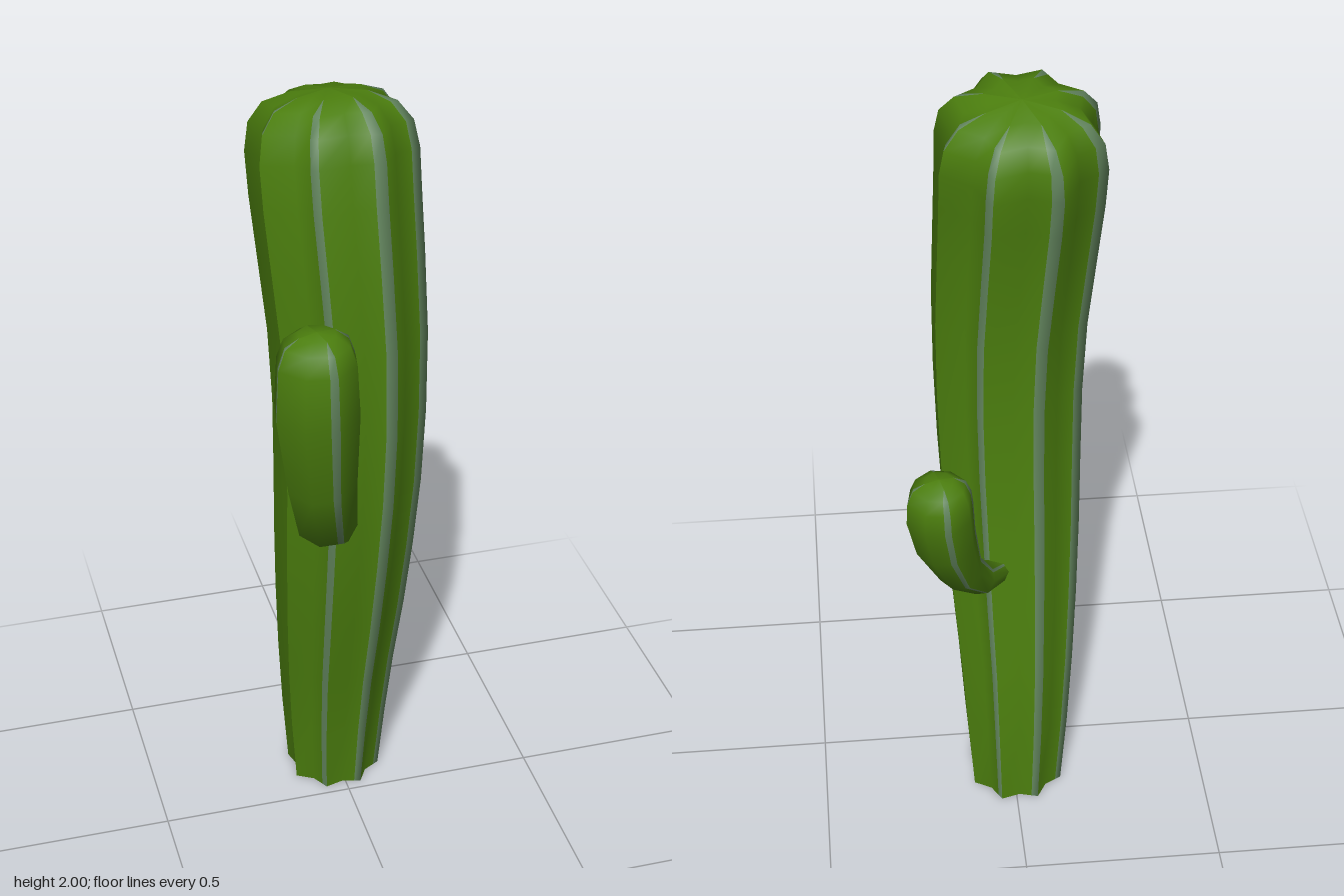
import * as THREE from 'three';

const skin = new THREE.MeshStandardMaterial({ color: 0x4c7f0e, side: THREE.DoubleSide });
skin.name = 'green skin';
const crest = new THREE.MeshStandardMaterial({ color: 0x64875f, side: THREE.DoubleSide });
crest.name = 'grey-green rib stripe';

// Sweeps a ribbed section along stations [x, y, z, radius]; the last one closes to a point.
// Each rib has a crest, the far edge of its stripe and a valley.
function ribbedStem(name, stations, { ribs, phase, valley, stripe }) {
  const up = new THREE.Vector3(0, 1, 0);
  const centres = stations.map(([x, y, z]) => new THREE.Vector3(x, y, z));
  const last = stations.length - 1;
  const sides = ribs * 3;
  const positions = [];

  stations.forEach(([, y, , radius], k) => {
    const tangent = centres[Math.min(k + 1, last)].clone()
      .sub(centres[Math.max(k - 1, 0)]).normalize();
    const turn = new THREE.Quaternion();
    if (y > 0) turn.setFromUnitVectors(up, tangent);
    const width = k >= last - 1 ? 0.02 : stripe; // stripes taper out on the cap
    for (let i = 0; i < ribs; i++) {
      const a = phase + (i / ribs) * Math.PI * 2;
      const b = a + Math.PI / ribs;
      const tip = new THREE.Vector3(Math.cos(a), 0, Math.sin(a));
      const dip = new THREE.Vector3(Math.cos(b), 0, Math.sin(b)).multiplyScalar(valley);
      for (const p of [tip, tip.clone().lerp(dip, width), dip]) {
        p.multiplyScalar(radius).applyQuaternion(turn).add(centres[k]);
        positions.push(p.x, p.y, p.z);
      }
    }
  });

  // Faces are sorted into plain skin and rib stripes
  const skinFaces = [], stripeFaces = [];
  for (let k = 0; k < last; k++) {
    for (let j = 0; j < sides; j++) {
      const n = (j + 1) % sides;
      const a = k * sides + j, b = k * sides + n;
      const c = a + sides, d = b + sides;
      const faces = j % 3 === 0 && k < last - 1 ? stripeFaces : skinFaces;
      faces.push(a, c, b);
      if (k < last - 1) faces.push(c, d, b);
    }
  }
  const geometry = new THREE.BufferGeometry();
  geometry.setAttribute('position', new THREE.Float32BufferAttribute(positions, 3));
  geometry.setIndex([...skinFaces, ...stripeFaces]);
  geometry.addGroup(0, skinFaces.length, 0);
  geometry.addGroup(skinFaces.length, stripeFaces.length, 1);
  geometry.computeVertexNormals();
  const mesh = new THREE.Mesh(geometry, [skin, crest]);
  mesh.name = name;
  return mesh;
}

export function createModel() {
  const group = new THREE.Group();
  group.name = 'cactus';

  // Trunk, open at the foot, bowing forward and leaning back at the top
  group.add(ribbedStem('trunk', [
    [-0.008, 0, -0.14, 0.124],
    [-0.008, 0.2, -0.13, 0.14],
    [-0.008, 0.4, -0.105, 0.154],
    [-0.005, 0.6, -0.075, 0.168],
    [-0.002, 0.8, -0.047, 0.178],
    [0.002, 1.0, -0.026, 0.185],
    [0.004, 1.2, -0.016, 0.189],
    [0, 1.4, -0.017, 0.194],
    [-0.012, 1.6, -0.032, 0.2],
    [-0.02, 1.75, -0.053, 0.204],
    [-0.022, 1.85, -0.071, 0.205],
    [-0.022, 1.915, -0.082, 0.193],
    [-0.022, 1.96, -0.09, 0.157],
    [-0.022, 1.983, -0.093, 0.09],
    [-0.022, 1.99, -0.095, 0],
  ], { ribs: 8, phase: Math.PI / 8, valley: 0.82, stripe: 0.35 }));

  // Arms: profiles of [z, y, radius], each running outward along a straight plan line
  const armShape = { ribs: 4, phase: 1.31, valley: 0.96, stripe: 0.26 };
  const frontArm = [
    [0.07, 0.99, 0.035], [0.14, 0.99, 0.045], [0.2, 1.012, 0.062], [0.275, 1.07, 0.077],
    [0.33, 1.22, 0.088], [0.372, 1.43, 0.104], [0.372, 1.55, 0.097],
    [0.37, 1.595, 0.08], [0.37, 1.618, 0.045], [0.37, 1.622, 0],
  ];
  group.add(ribbedStem('frontArm',
    frontArm.map(([z, y, r]) => [-0.06 - 0.48 * (z - 0.13), y, z, r]), armShape));

  const backArm = [
    [-0.14, 0.735, 0.03], [-0.19, 0.738, 0.034], [-0.255, 0.768, 0.042], [-0.325, 0.86, 0.056],
    [-0.375, 0.99, 0.075], [-0.394, 1.09, 0.082], [-0.395, 1.135, 0.078],
    [-0.395, 1.168, 0.064], [-0.395, 1.184, 0.035], [-0.395, 1.188, 0],
  ];
  group.add(ribbedStem('backArm',
    backArm.map(([z, y, r]) => [0.09 - 0.73 * (z + 0.25), y, z, r]), armShape));

  return group;
}
